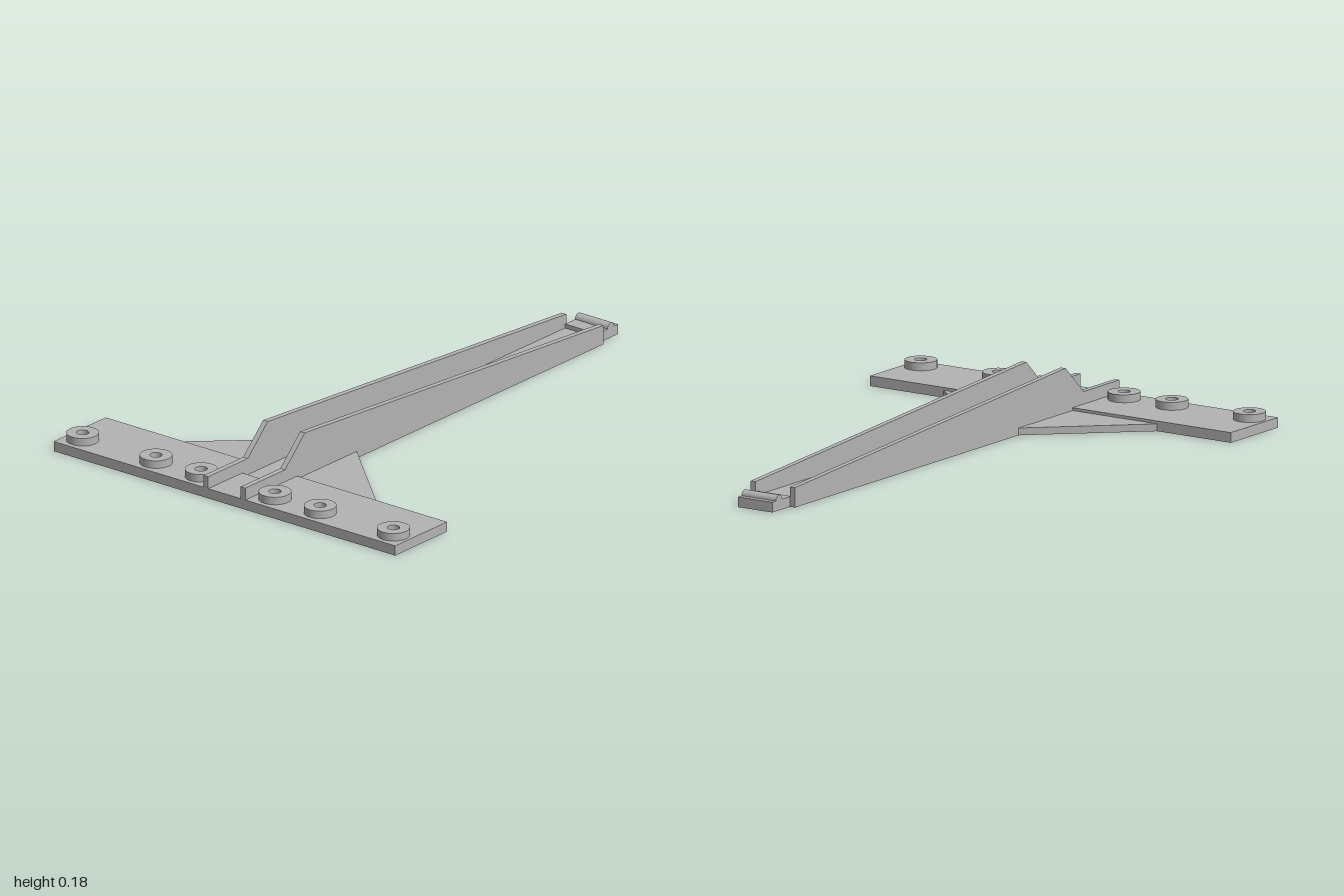
import * as THREE from 'three';

export function createModel() {
  const group = new THREE.Group();
  const grey = new THREE.MeshStandardMaterial({ color: 0xb3b3b3 });
  grey.name = 'plain grey';

  const add = (name, geometry) => {
    const mesh = new THREE.Mesh(geometry, grey);
    mesh.name = name;
    group.add(mesh);
    return mesh;
  };
  const outline = (points) => new THREE.Shape(points.map(([x, y]) => new THREE.Vector2(x, y)));
  const circle = (x, y, r) => new THREE.Path().absarc(x, y, r, 0, Math.PI * 2, true);
  const extrude = (shape, depth) =>
    new THREE.ExtrudeGeometry(shape, { depth, bevelEnabled: false, curveSegments: 16 });
  // Plan shapes are drawn in x and -z, then raised along y
  const slab = (name, shape, y0, y1) => {
    const geometry = extrude(shape, y1 - y0);
    geometry.rotateX(-Math.PI / 2);
    geometry.translate(0, y0, 0);
    return add(name, geometry);
  };

  const INNER = 0.07, OUTER = 0.09, PLATE = 0.035, FLOOR = 0.02;
  const bossX = -0.928, holeR = 0.021;
  const bossZ = [0.159, 0.354, 0.67];

  for (const s of [1, -1]) {
    const side = s > 0 ? 'front' : 'back';

    // Wing of the cross plate with its screw holes
    const wing = outline([[-1, s * OUTER], [-0.725, s * OUTER], [-0.725, s * 0.736], [-1, s * 0.736]]);
    bossZ.forEach((z) => wing.holes.push(circle(bossX, s * z, holeR)));
    slab(side + 'Wing', wing, 0, PLATE);

    // Raised ring around each screw hole
    bossZ.forEach((z, i) => {
      const ring = new THREE.Shape().absarc(bossX, s * z, 0.055, 0, Math.PI * 2);
      ring.holes.push(circle(bossX, s * z, holeR));
      slab(side + 'Boss' + (i + 1), ring, PLATE, 0.062);
    });

    // Triangular brace between wing and beam
    slab(side + 'Gusset',
      outline([[-0.725, s * OUTER], [-0.41, s * OUTER], [-0.725, s * 0.435]]), 0, 0.025);

    // Tapering side wall of the beam
    const wall = extrude(outline([
      [-1, 0], [0.897, 0], [0.897, 0.068], [-0.685, 0.178], [-0.79, 0.078], [-1, 0.078],
    ]), OUTER - INNER);
    wall.translate(0, 0, s > 0 ? INNER : -OUTER);
    add(side + 'Wall', wall);
  }

  // Beam floor with a row of round holes
  const floor = outline([[-0.82, -INNER], [0.89, -INNER], [0.89, INNER], [-0.82, INNER]]);
  for (let i = 0; i < 10; i++) floor.holes.push(circle(-0.643 + i * 0.111, 0, 0.026));
  slab('beamFloor', floor, 0, FLOOR);

  // Thicker floor where the beam crosses the plate
  slab('rootFloor', outline([[-1, -INNER], [-0.82, -INNER], [-0.82, INNER], [-1, INNER]]), 0, PLATE);

  // End tongue with a rounded catch ridge
  const tongue = new THREE.Shape();
  tongue.moveTo(0.89, 0);
  tongue.lineTo(1, 0);
  tongue.lineTo(1, PLATE);
  tongue.lineTo(0.979, PLATE);
  tongue.absarc(0.961, PLATE, 0.018, 0, Math.PI, false);
  tongue.lineTo(0.89, PLATE);
  const tongueGeometry = extrude(tongue, INNER * 2);
  tongueGeometry.translate(0, 0, -INNER);
  add('endTongue', tongueGeometry);

  return group;
}
